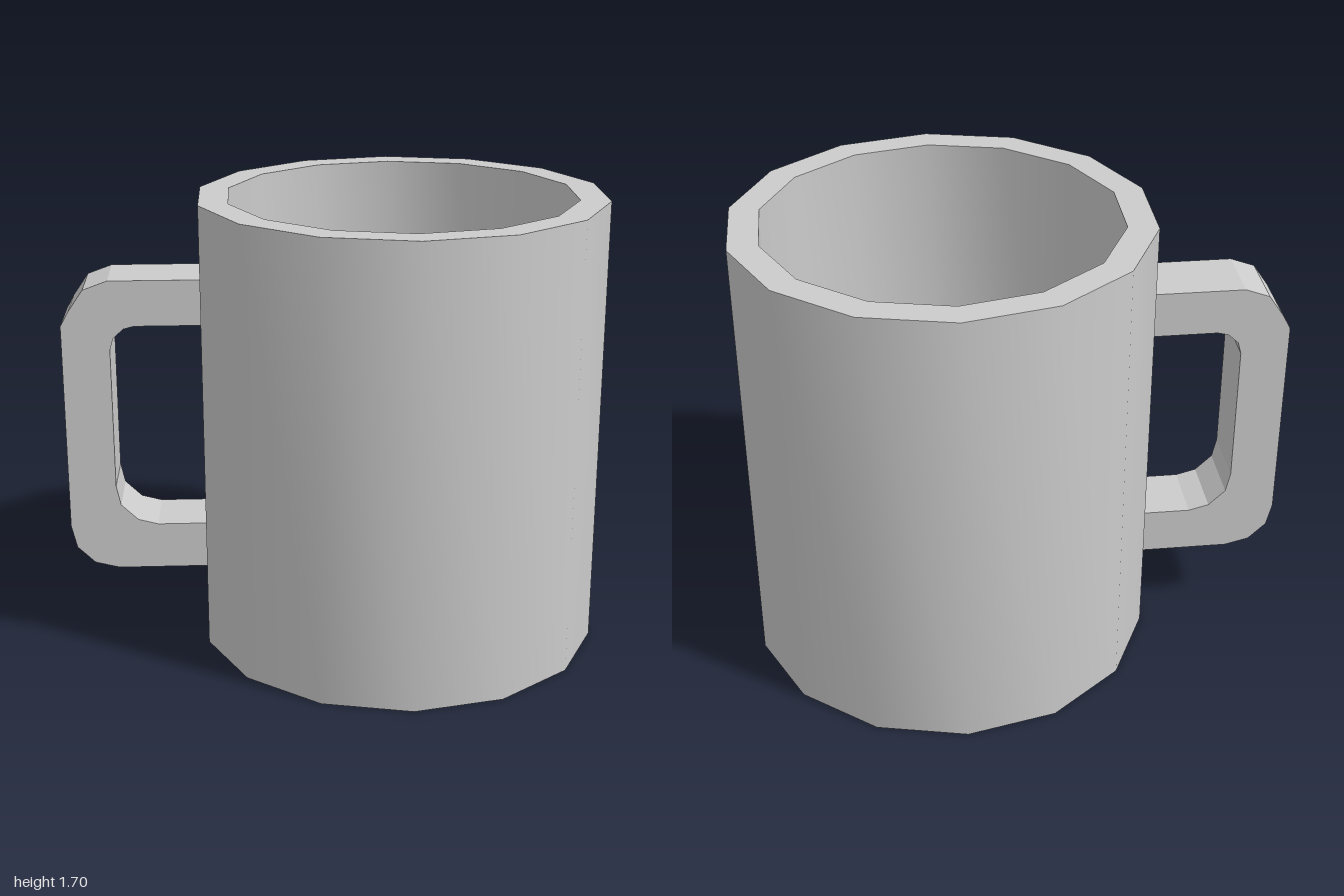
import * as THREE from 'three';
import { toCreasedNormals } from 'three/addons/utils/BufferGeometryUtils.js';

const SIDES = 14;
const CENTRE_X = 0.245;
const HEIGHT = 1.7;
const OUTER = 0.754;
const INNER = 0.644;
const FLOOR = 0.11;
const TURN = 0.053; // small twist of the 14-sided body

export function createModel() {
  const model = new THREE.Group();
  model.name = 'mug';
  const material = new THREE.MeshStandardMaterial({ color: 0xcccccc });

  // Body: outside wall, rim, inside wall and floor in one profile
  const profile = [
    [0, 0], [OUTER, 0], [OUTER, HEIGHT], [INNER, HEIGHT], [INNER, FLOOR], [0, FLOOR],
  ].map(([r, y]) => new THREE.Vector2(r, y));
  const lathe = new THREE.LatheGeometry(profile, SIDES, Math.PI / 2 + TURN);
  const body = new THREE.Mesh(toCreasedNormals(lathe, 0.7), material);
  body.name = 'body';
  body.position.x = CENTRE_X;
  model.add(body);

  // Handle: C-shaped outline (distance from body axis, height), extruded to its width
  const outline = [
    [0.73, 0.3], [1.068, 0.3], [1.158, 0.323], [1.223, 0.387], [1.243, 0.473],
    [1.243, 1.253], [1.213, 1.307], [1.158, 1.387], [1.068, 1.42], [0.73, 1.42],
    [0.73, 1.25], [0.977, 1.25], [1.017, 1.24], [1.055, 1.205], [1.068, 1.16],
    [1.068, 0.63], [1.052, 0.555], [0.99, 0.495], [0.915, 0.475], [0.73, 0.475],
  ].map(([r, y]) => new THREE.Vector2(r, y));
  const width = 0.246;
  const bar = new THREE.ExtrudeGeometry(new THREE.Shape(outline), {
    depth: width, bevelEnabled: false,
  });
  bar.translate(0, 0, -width / 2);
  const handle = new THREE.Mesh(bar, material);
  handle.name = 'handle';
  handle.position.x = CENTRE_X;
  // Stand square on the middle of one side of the body
  handle.rotation.y = Math.PI - (Math.PI / SIDES - TURN);
  model.add(handle);

  return model;
}
